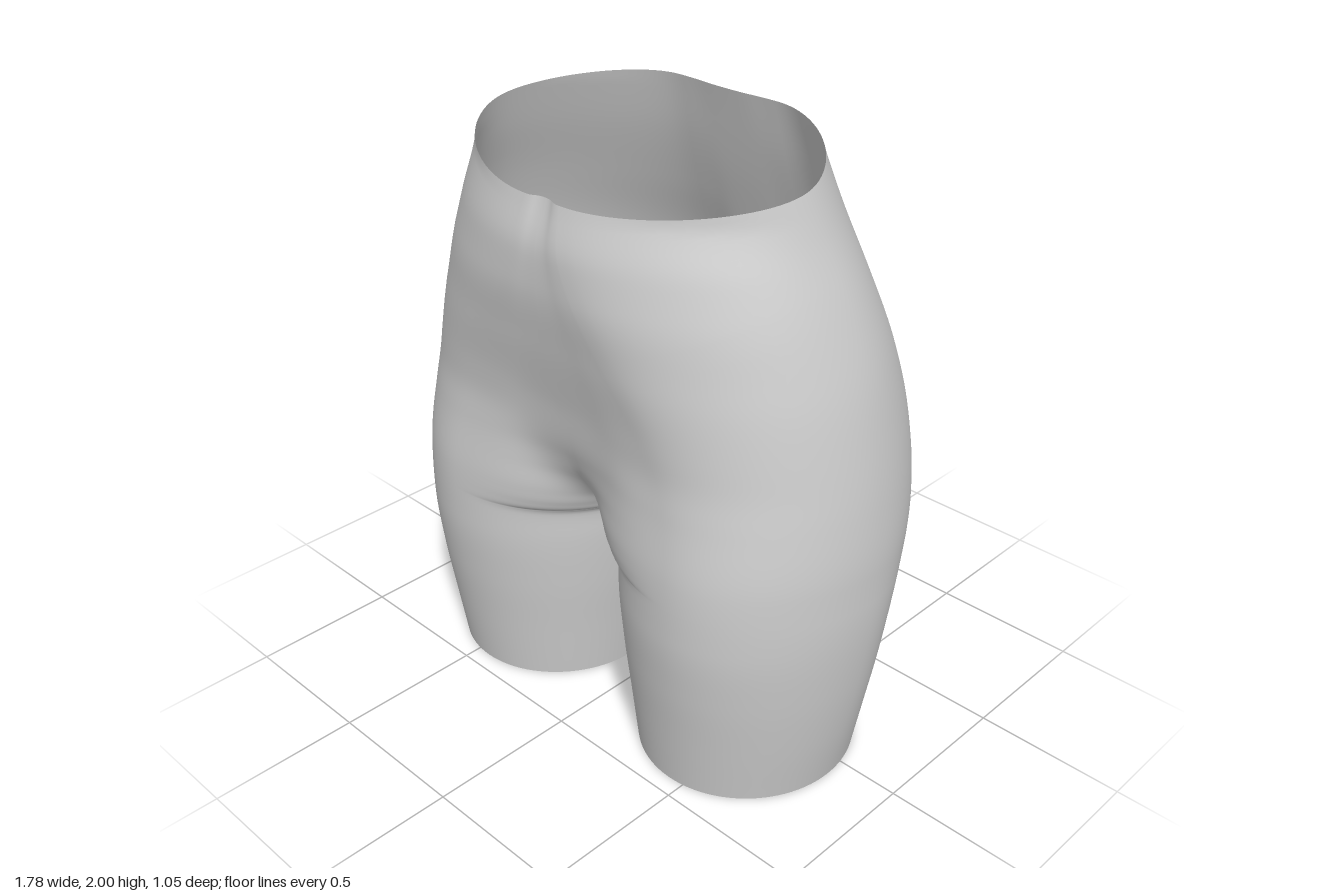
import * as THREE from 'three';
import { mergeVertices } from 'three/addons/utils/BufferGeometryUtils.js';

// Smooth curve through [key, value] pairs, without overshoot
function track(...p) {
  const n = p.length;
  const h = p.slice(1).map((q, i) => q[0] - p[i][0]);
  const d = h.map((w, i) => (p[i + 1][1] - p[i][1]) / w);
  const m = p.map((_, i) => {
    if (i === 0) return d[0];
    if (i === n - 1) return d[n - 2];
    const a = d[i - 1], b = d[i];
    if (a * b <= 0) return 0;
    const slope = (h[i] * a + h[i - 1] * b) / (h[i] + h[i - 1]);
    return Math.sign(slope) * Math.min(Math.abs(slope), 3 * Math.abs(a), 3 * Math.abs(b));
  });
  return (x) => {
    if (x <= p[0][0]) return p[0][1];
    if (x >= p[n - 1][0]) return p[n - 1][1];
    let i = 0;
    while (x > p[i + 1][0]) i++;
    const t = (x - p[i][0]) / h[i], s = 1 - t;
    return p[i][1] * s * s * (1 + 2 * t) + p[i + 1][1] * t * t * (3 - 2 * t)
      + h[i] * (m[i] * t * s * s - m[i + 1] * t * t * s);
  };
}

const CROTCH = 0.71, HEM = 0.055;

// Body measurements by height
const outerX = track([0, .795], [.2, .835], [.4, .866], [.7, .889], [.8, .889], [1, .875],
  [1.2, .845], [1.4, .803], [1.6, .74], [1.8, .663], [1.95, .612], [2, .595]);
const outerZ = track([0, .075], [.7, .03], [1.4, .02], [1.7, .05], [1.95, .1]);
const frontX = track([0, .445], [.7, .48], [1, .45], [1.2, .38], [1.5, .2], [1.7, .1], [1.85, .07]);
const frontZ = track([0, .44], [.2, .465], [.4, .49], [.6, .505], [.8, .5], [1, .475], [1.1, .468],
  [1.2, .475], [1.4, .505], [1.6, .53], [1.7, .528], [1.85, .49]);
const backX = track([0, .445], [.6, .39], [.8, .33], [1.05, .28], [1.4, .25], [2, .2]);
const backZ = track([0, -.29], [.2, -.286], [.4, -.315], [.6, -.37], [.7, -.42], [.8, -.472], [.9, -.507],
  [1.05, -.525], [1.2, -.513], [1.4, -.455], [1.6, -.38], [1.8, -.315], [2, -.266]);
// Roundness of the outer hip and waist
const fullness = track([0, .55], [1, .53], [1.6, .48], [1.95, .44]);
// Inner leg line, which opens into front and back centre seams above the crotch
const innerX = track([0, .095], [.2, .068], [.4, .04], [.6, .021], [.68, .017], [.7, .011], [CROTCH, 0]);
const seamFrontZ = track([0, .075], [CROTCH, .05], [.72, .11], [.75, .2], [.8, .285], [.9, .375], [1, .42],
  [1.2, .46], [1.4, .5], [1.6, .525], [1.7, .522], [1.85, .478]);
const seamBackZ = track([0, .075], [CROTCH, .05], [.72, -.02], [.75, -.12], [.8, -.23], [.87, -.34], [.95, -.425],
  [1.1, -.483], [1.3, -.465], [1.5, -.405], [1.7, -.342], [2, -.26]);
const frontTurn = track([CROTCH, 90], [.8, 70], [.9, 45], [1, 22], [1.2, 5], [1.4, 0]);
const backTurn = track([CROTCH, 90], [.8, 78], [.9, 60], [1.1, 25], [1.3, 8], [1.5, 0]);
// Lower edge of the yoke, by position around the half section
const yokeEdge = track([0, 1.4], [.25, 1.45], [.5, 1.67], [.6, 1.69], [.75, 1.6], [1, 1.42]);

const bez = (a, b, c, d, t) => {
  const s = 1 - t;
  return a * s * s * s + 3 * b * s * s * t + 3 * c * s * t * t + d * t * t * t;
};

// Curve from a front or back crest to the centre seam
function inward(cx, cz, sx, sz, turn, t) {
  const a = THREE.MathUtils.degToRad(turn), k = .55, dx = cx - sx, dz = cz - sz;
  return [bez(cx, cx - k * dx, sx + k * dx * Math.cos(a), sx, t),
    bez(cz, cz, sz + k * dz * Math.sin(a), sz, t)];
}

// Curve from a front or back crest to the outer side
function outward(cx, cz, ox, oz, k, t) {
  return [bez(cx, cx + k * (ox - cx), ox, ox, t), bez(cz, cz, oz + k * (cz - oz), oz, t)];
}

// Half section: u runs front seam, front crest, outer side, back crest, back seam
function section(y, u) {
  const q = u * 4, sx = innerX(y), k = fullness(y);
  const f = [frontX(y), frontZ(y)], b = [backX(y), backZ(y)], o = [outerX(y), outerZ(y)];
  if (q <= 1) return inward(...f, sx, seamFrontZ(y), frontTurn(y), 1 - q);
  if (q <= 2) return outward(...f, ...o, k, q - 1);
  if (q <= 3) return outward(...b, ...o, k, 3 - q);
  return inward(...b, sx, seamBackZ(y), backTurn(y), q - 3);
}

export function createModel() {
  const N = 96, LEG = 26, BODY = 44, YOKE = 18;
  const rowsHem = 2, rowLeg = rowsHem + LEG, rowYoke = rowLeg + BODY, rows = rowYoke + YOKE;

  // Waist height on the sloping top edge
  const waist = (u) => {
    let y = 1.95;
    for (let i = 0; i < 6; i++) y = 1.947 - .1987 * section(y, u)[1];
    return y;
  };
  const height = (r, u, top) => {
    if (r <= rowsHem) return HEM * r / rowsHem;
    if (r <= rowLeg) return CROTCH - (CROTCH - HEM) * Math.pow(1 - (r - rowsHem) / LEG, 1.6);
    const edge = yokeEdge(u);
    if (r <= rowYoke) return CROTCH + (edge - CROTCH) * Math.pow((r - rowLeg) / BODY, 1.7);
    return edge + (top - edge) * (r - rowYoke) / YOKE;
  };

  // Both halves as grids, with faces sorted by panel
  const positions = [];
  const panels = { legHems: [], shortsBody: [], frontYoke: [], backYoke: [] };
  for (const side of [1, -1]) {
    const base = positions.length / 3;
    for (let j = 0; j <= N; j++) {
      const u = j / N, top = waist(u);
      for (let r = 0; r <= rows; r++) {
        const y = height(r, u, top), [x, z] = section(y, u);
        positions.push(side * x, y, z);
      }
    }
    for (let j = 0; j < N; j++) {
      for (let r = 0; r < rows; r++) {
        const a = base + j * (rows + 1) + r, b = a + rows + 1;
        const name = r < rowsHem ? 'legHems' : r < rowYoke ? 'shortsBody'
          : j < N * .53 ? 'frontYoke' : 'backYoke';
        if (side > 0) panels[name].push(a, b, b + 1, a, b + 1, a + 1);
        else panels[name].push(a, b + 1, b, a, a + 1, b + 1);
      }
    }
  }

  // Weld the halves so that the shading runs smoothly across every seam
  let whole = new THREE.BufferGeometry();
  whole.setAttribute('position', new THREE.Float32BufferAttribute(positions, 3));
  whole.setIndex(Object.values(panels).flat());
  whole = mergeVertices(whole, 1e-5);
  whole.computeVertexNormals();

  const group = new THREE.Group();
  group.name = 'shorts';
  const fabric = new THREE.MeshStandardMaterial({ color: 0xcccccc, side: THREE.DoubleSide });
  const index = Array.from(whole.index.array);
  let start = 0;
  for (const [name, faces] of Object.entries(panels)) {
    const geometry = new THREE.BufferGeometry();
    geometry.setAttribute('position', whole.attributes.position);
    geometry.setAttribute('normal', whole.attributes.normal);
    geometry.setIndex(index.slice(start, start + faces.length));
    start += faces.length;
    const mesh = new THREE.Mesh(geometry, fabric);
    mesh.name = name;
    group.add(mesh);
  }
  return group;
}
